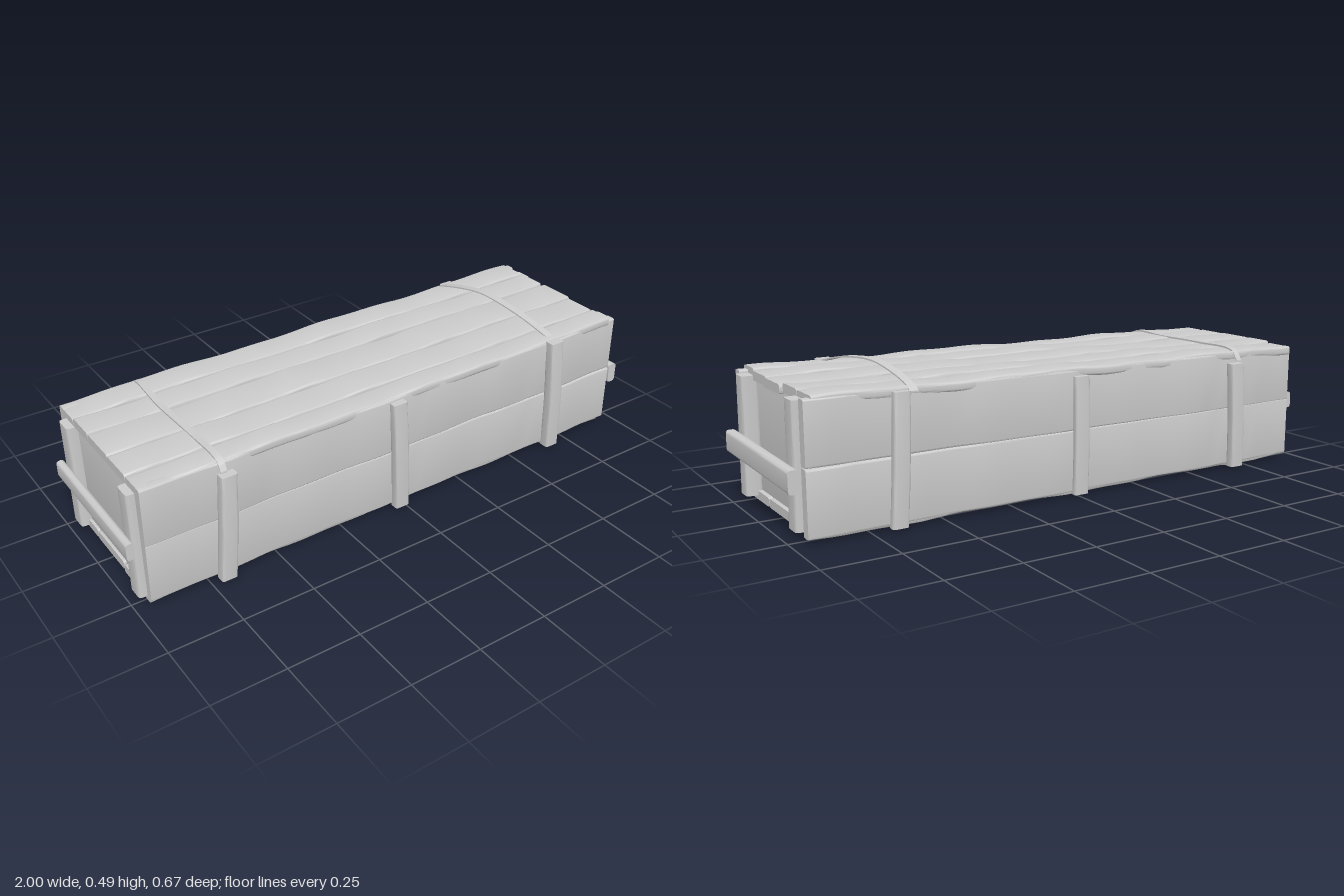
import * as THREE from 'three';
import { toCreasedNormals } from 'three/addons/utils/BufferGeometryUtils.js';

const material = new THREE.MeshStandardMaterial({ color: 0xcccccc, side: THREE.DoubleSide });

// Rounded rectangle centred on the origin
function roundedRect(w, h, r) {
  const s = new THREE.Shape();
  const a = w / 2, b = h / 2;
  s.moveTo(-a + r, -b);
  s.lineTo(a - r, -b); s.quadraticCurveTo(a, -b, a, -b + r);
  s.lineTo(a, b - r); s.quadraticCurveTo(a, b, a - r, b);
  s.lineTo(-a + r, b); s.quadraticCurveTo(-a, b, -a, b - r);
  s.lineTo(-a, -b + r); s.quadraticCurveTo(-a, -b, -a + r, -b);
  return s;
}

// Board with rounded edges running along one axis; bend(v) shifts each vertex
function board(name, [x0, x1], [y0, y1], [z0, z1], axis, bend, r = 0.008) {
  const dx = x1 - x0, dy = y1 - y0, dz = z1 - z0;
  const [w, h, len] = axis === 'x' ? [dz, dy, dx] : axis === 'y' ? [dx, dz, dy] : [dx, dy, dz];
  let g = new THREE.ExtrudeGeometry(roundedRect(w, h, r), {
    depth: len, steps: Math.max(6, Math.round(len * 20)), bevelEnabled: false, curveSegments: 3,
  });
  g.translate(0, 0, -len / 2);
  if (axis === 'x') g.rotateY(Math.PI / 2);
  if (axis === 'y') g.rotateX(-Math.PI / 2);
  g.translate((x0 + x1) / 2, (y0 + y1) / 2, (z0 + z1) / 2);
  if (bend) {
    const p = g.attributes.position, v = new THREE.Vector3();
    for (let i = 0; i < p.count; i++) {
      v.fromBufferAttribute(p, i);
      bend(v);
      p.setXYZ(i, v.x, v.y, v.z);
    }
  }
  g = toCreasedNormals(g, 0.75);
  const m = new THREE.Mesh(g, material);
  m.name = name;
  return m;
}

// Flat strap following points
function strap(name, points, width, thickness) {
  const curve = new THREE.CatmullRomCurve3(points.map(p => new THREE.Vector3(...p)), false, 'centripetal');
  const steps = 40, pos = [], idx = [];
  for (let i = 0; i <= steps; i++) {
    const c = curve.getPoint(i / steps);
    for (const [a, b] of [[-1, -1], [1, -1], [1, 1], [-1, 1]])
      pos.push(c.x + a * width / 2, c.y + b * thickness / 2, c.z);
    if (i < steps) for (let k = 0; k < 4; k++) {
      const a = i * 4 + k, b = i * 4 + (k + 1) % 4;
      idx.push(a, b, a + 4, b, b + 4, a + 4);
    }
  }
  idx.push(0, 2, 1, 0, 3, 2);
  const e = steps * 4;
  idx.push(e, e + 1, e + 2, e, e + 2, e + 3);
  const g = new THREE.BufferGeometry();
  g.setAttribute('position', new THREE.Float32BufferAttribute(pos, 3));
  g.setIndex(idx);
  const m = new THREE.Mesh(toCreasedNormals(g, 0.7), material);
  m.name = name;
  return m;
}

export function createModel() {
  const crate = new THREE.Group();
  crate.name = 'crate';
  const wave = (x, seed) => 0.003 * Math.sin(9 * x + seed) + 0.002 * Math.sin(23 * x + 2 * seed);

  // Lid planks, slightly wavy and rising towards the left end
  const lid = new THREE.Group();
  lid.name = 'lid';
  [[0.2, 0.29, 0.925], [0.073, 0.197, 0.93], [-0.073, 0.07, 0.94], [-0.187, -0.077, 0.93], [-0.3, -0.19, 0.93]]
    .forEach(([z0, z1, end], i) => lid.add(board('lidPlank', [-0.95, end], [0.405, 0.436], [z0, z1], 'x',
      v => { v.y += 0.008 * v.x + wave(v.x, i * 1.7); v.z += 0.4 * wave(v.x, i); }, 0.009)));
  crate.add(lid);

  // Floor planks
  const floor = new THREE.Group();
  floor.name = 'floor';
  [[0.1, 0.285], [-0.1, 0.097], [-0.295, -0.103]].forEach(([z0, z1], i) =>
    floor.add(board('floorPlank', [-0.95, 0.93], [0.012, 0.042], [z0, z1], 'x',
      v => { v.y += wave(v.x, i * 2 + 1); })));
  crate.add(floor);

  // Long side walls of two planks with a shallow seam
  const walls = [['frontWall', 0.255, 0.29, 1], ['backWall', -0.3, -0.265, -1]];
  for (const [name, z0, z1, side] of walls) {
    const wall = new THREE.Group();
    wall.name = name;
    [[0.018, 0.229], [0.227, 0.43]].forEach(([y0, y1], i) =>
      wall.add(board('sidePlank', [-0.95, 0.955], [y0, y1], [z0, z1], 'x',
        v => { v.z += side * wave(v.x, 1 + side); v.y += i * 0.006 * v.x; }, 0.006)));
    crate.add(wall);
  }

  // Vertical side battens, bowed outwards at mid height
  const battens = [
    [-0.685, 0.285, 0.325, 0.39, 1, 0.03], [-0.03, 0.285, 0.32, 0.42, 1, -0.02], [0.655, 0.285, 0.325, 0.44, 1, -0.02],
    [-0.675, -0.33, -0.295, 0.39, -1, 0.02], [0, -0.32, -0.295, 0.41, -1, 0], [0.66, -0.325, -0.295, 0.43, -1, -0.02],
  ];
  for (const [x, z0, z1, top, side, lean] of battens)
    crate.add(board(side > 0 ? 'frontBatten' : 'backBatten', [x - 0.027, x + 0.027], [0.01, top], [z0, z1], 'y',
      v => {
        const t = (v.y - 0.2) / 0.2;
        v.x += lean * t * 0.4;
        v.z += side * 0.006 * (1 - t * t);
      }));

  // Recessed end panels with posts and a carrying bar
  const ends = [
    { name: 'leftEnd', panel: [0.89, 0.915], post: [0.91, 0.968], bar: [0.965, 1], y: [0.158, 0.232],
      bz: [-0.275, 0.287], top: 0.425, tilt: 0.015 },
    { name: 'rightEnd', panel: [-0.94, -0.915], post: [-0.977, -0.93], bar: [-1, -0.973], y: [0.18, 0.24],
      bz: [-0.265, 0.265], top: 0.4, tilt: -0.01 },
  ];
  for (const e of ends) {
    const end = new THREE.Group();
    end.name = e.name;
    end.add(board('endPanel', e.panel, [0.03, 0.42], [-0.28, 0.27], 'z', null, 0.004));
    for (const [z0, z1] of [[0.198, 0.262], [-0.243, -0.175]])
      end.add(board('endPost', e.post, [0.025, e.top], [z0, z1], 'y', v => { v.z -= 0.02 * (v.y - 0.2); }, 0.012));
    end.add(board('carryingBar', e.bar, e.y, e.bz, 'z', v => { v.y += e.tilt * v.z; }, 0.012));
    crate.add(end);
  }

  // Loose strap arched over the lid, and a tight one at the other end
  crate.add(strap('looseStrap', [[0.66, 0.425, 0.31], [0.655, 0.443, 0.25], [0.645, 0.472, 0.12],
    [0.632, 0.489, -0.06], [0.622, 0.481, -0.14], [0.61, 0.445, -0.28], [0.61, 0.425, -0.315]], 0.028, 0.005));
  crate.add(strap('tightStrap', [[-0.685, 0.4, 0.31], [-0.685, 0.43, 0.285], [-0.685, 0.434, 0.1],
    [-0.69, 0.436, -0.1], [-0.68, 0.432, -0.29], [-0.678, 0.4, -0.32]], 0.022, 0.006));

  // Straps under the floor
  for (const x of [-0.68, 0.655])
    crate.add(strap('floorStrap', [[x, 0.02, 0.31], [x, 0.009, 0.27], [x, 0.005, 0],
      [x, 0.009, -0.28], [x, 0.02, -0.315]], 0.03, 0.008));

  return crate;
}
